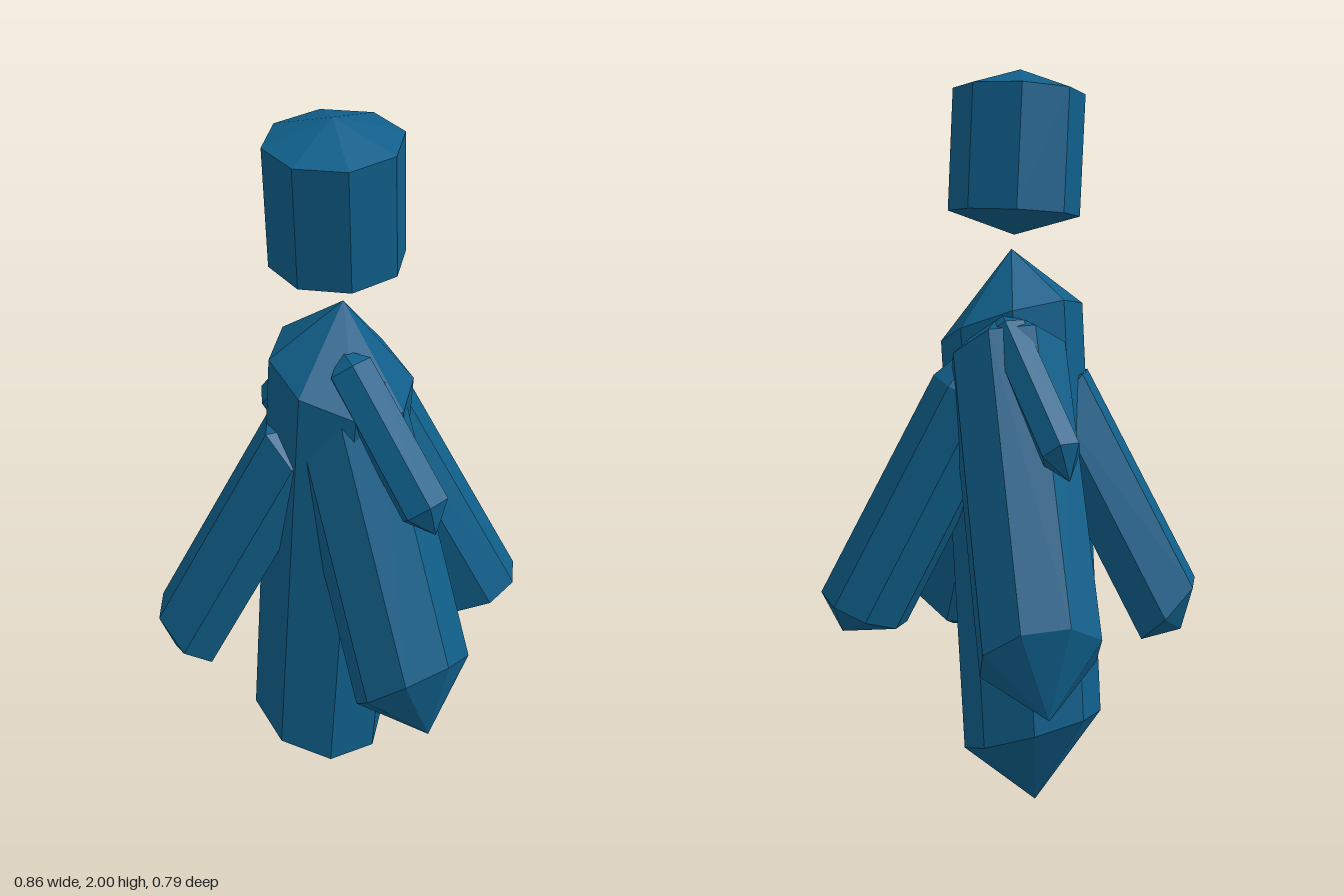
import * as THREE from 'three';
import { ConvexGeometry } from 'three/addons/geometries/ConvexGeometry.js';

const v = (a) => new THREE.Vector3(...a);

// Faceted shard: two parallel rings around an axis, each closed by a pointed tip.
// lean scales the tilt of the rings relative to the axis.
function shard({ sides, lean, phase = 0, tipLow, low, rLow, high, rHigh, tipHigh }) {
  const axis = v(high).sub(v(low)).normalize();
  const normal = new THREE.Vector3(axis.x * lean, axis.y, axis.z * lean).normalize();
  const across = new THREE.Vector3().crossVectors(normal, new THREE.Vector3(0, 1, 0)).normalize();
  const along = new THREE.Vector3().crossVectors(normal, across);
  const points = [v(tipLow), v(tipHigh)];
  for (const [centre, r] of [[low, rLow], [high, rHigh]]) {
    for (let i = 0; i < sides; i++) {
      const a = phase + (i / sides) * Math.PI * 2;
      points.push(v(centre).addScaledVector(across, r * Math.cos(a)).addScaledVector(along, r * Math.sin(a)));
    }
  }
  return new ConvexGeometry(points);
}

const shards = {
  // floating crystal above the cluster
  floatingCrystal: {
    sides: 8, lean: 1, phase: -0.36, rLow: 0.174, rHigh: 0.174,
    tipLow: [-0.01, 1.575, 0.03], low: [-0.007, 1.63, 0.033],
    high: [0.002, 1.945, 0.068], tipHigh: [0, 2, 0.07],
  },
  // tall central crystal
  centralCrystal: {
    sides: 8, lean: 5.4, rLow: 0.197, rHigh: 0.197,
    tipLow: [-0.07, 0.0, 0.05], low: [-0.06, 0.205, 0.052],
    high: [0.02, 1.34, 0.06], tipHigh: [0.025, 1.535, 0.065],
  },
  // four splayed crystals
  frontLeftCrystal: {
    sides: 8, lean: 2.1, phase: 0.1, rLow: 0.165, rHigh: 0.16,
    tipLow: [0.365, 0.39, 0.225], low: [0.304, 0.54, 0.204],
    high: [0.035, 1.25, 0.08], tipHigh: [0, 1.38, 0.06],
  },
  frontRightCrystal: {
    sides: 6, lean: 2.1, rLow: 0.118, rHigh: 0.115,
    tipLow: [-0.375, 0.49, 0.315], low: [-0.345, 0.55, 0.296],
    high: [-0.075, 1.13, 0.155], tipHigh: [-0.02, 1.19, 0.1],
  },
  backRightCrystal: {
    sides: 8, lean: 2.1, phase: 0.28, rLow: 0.164, rHigh: 0.16,
    tipLow: [-0.365, 0.405, -0.3], low: [-0.3, 0.54, -0.248],
    high: [-0.045, 1.25, -0.045], tipHigh: [-0.01, 1.38, -0.02],
  },
  backLeftCrystal: {
    sides: 8, lean: 0.8, phase: 0.2, rLow: 0.125, rHigh: 0.12,
    tipLow: [0.34, 0.5, -0.285], low: [0.29, 0.57, -0.25],
    high: [0.03, 1.17, -0.085], tipHigh: [0, 1.33, -0.07],
  },
  // two small offshoots
  smallBackCrystal: {
    sides: 6, lean: 1, rLow: 0.056, rHigh: 0.056,
    tipLow: [-0.345, 0.99, -0.19], low: [-0.316, 1.055, -0.185],
    high: [-0.08, 1.335, -0.095], tipHigh: [-0.05, 1.38, -0.08],
  },
  smallFrontCrystal: {
    sides: 6, lean: 1, rLow: 0.067, rHigh: 0.064,
    tipLow: [0.36, 1.025, 0.21], low: [0.326, 1.085, 0.202],
    high: [0.075, 1.385, 0.13], tipHigh: [0.045, 1.43, 0.12],
  },
};

export function createModel() {
  const group = new THREE.Group();
  group.name = 'crystalCluster';
  const blue = new THREE.MeshStandardMaterial({ color: 0x105f8a });
  blue.name = 'deep blue crystal';
  for (const [name, spec] of Object.entries(shards)) {
    const mesh = new THREE.Mesh(shard(spec), blue);
    mesh.name = name;
    group.add(mesh);
  }
  return group;
}
